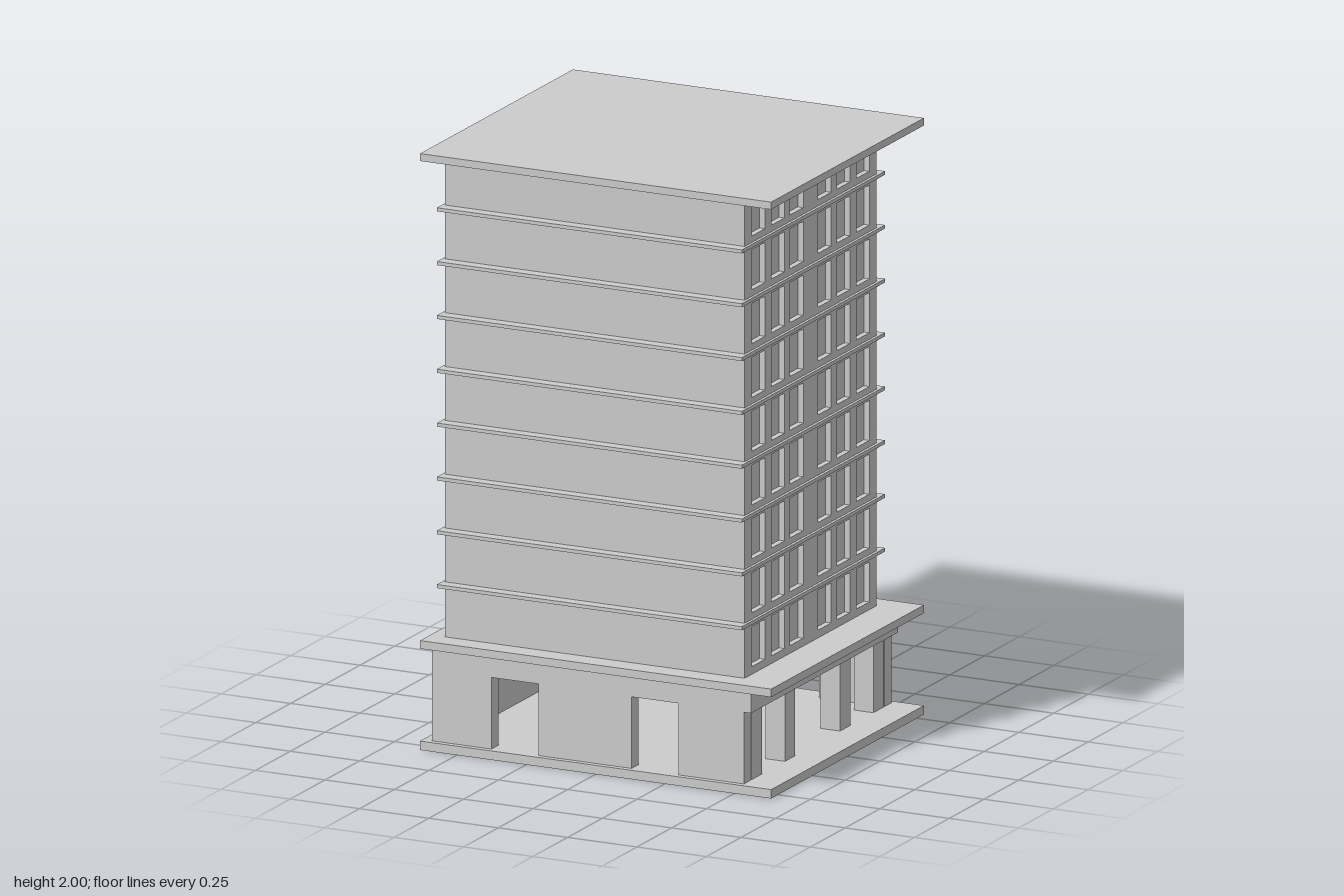
import * as THREE from 'three';

const material = new THREE.MeshStandardMaterial({ color: 0xcccccc, flatShading: true });

// Box given by its minimum and maximum on each axis
function box(parent, name, x0, x1, y0, y1, z0, z1) {
  const mesh = new THREE.Mesh(new THREE.BoxGeometry(x1 - x0, y1 - y0, z1 - z0), material);
  mesh.position.set((x0 + x1) / 2, (y0 + y1) / 2, (z0 + z1) / 2);
  mesh.name = name;
  parent.add(mesh);
  return mesh;
}

// Upright wall outline with rectangular holes, extruded along z
function wallGeometry(x0, x1, y0, y1, holes, depth) {
  const rect = (Type, a, b, c, d) => {
    const path = new Type();
    path.moveTo(a, c).lineTo(b, c).lineTo(b, d).lineTo(a, d).closePath();
    return path;
  };
  const shape = rect(THREE.Shape, x0, x1, y0, y1);
  for (const h of holes) shape.holes.push(rect(THREE.Path, ...h));
  return new THREE.ExtrudeGeometry(shape, { depth, bevelEnabled: false });
}

export function createModel() {
  const model = new THREE.Group();
  model.name = 'towerBlock';
  const floors = 9, floorHeight = 0.1805, towerBase = 0.365;
  const reveal = 0.02;

  // Ground, podium and roof slabs
  for (const [name, y0, y1] of [['baseSlab', 0, 0.03], ['podiumSlab', 0.34, 0.367], ['roofSlab', 1.975, 2]]) {
    box(model, name, -0.633, 0.633, y0, y1, -0.55, 0.55);
  }

  // Ground storey: pierced front and back walls, solid left-hand wall, open colonnade
  const podium = new THREE.Group();
  podium.name = 'groundStorey';
  model.add(podium);
  const doors = new THREE.Shape();
  const outline = [
    [-0.6, 0.03], [-0.385, 0.03], [-0.385, 0.27], [-0.215, 0.27], [-0.215, 0.03], [0.12, 0.03],
    [0.12, 0.27], [0.29, 0.27], [0.29, 0.03], [0.525, 0.03], [0.525, 0.34], [-0.6, 0.34],
  ];
  doors.setFromPoints(outline.map(([x, y]) => new THREE.Vector2(x, y)));
  const doorWall = new THREE.ExtrudeGeometry(doors, { depth: 0.05, bevelEnabled: false });
  for (const [name, z] of [['frontDoorWall', 0.48], ['backDoorWall', -0.53]]) {
    const wall = new THREE.Mesh(doorWall, material);
    wall.position.z = z;
    wall.name = name;
    podium.add(wall);
  }
  box(podium, 'solidSideWall', -0.6, -0.55, 0.03, 0.34, -0.48, 0.48);
  box(podium, 'colonnadeBeam', 0.47, 0.55, 0.27, 0.34, -0.53, 0.53);
  for (const z of [-0.438, -0.198, 0.198, 0.438]) {
    box(podium, 'column', 0.455, 0.525, 0.03, 0.27, z - 0.037, z + 0.037);
  }

  // Tower core, whose side faces form the window panes
  box(model, 'towerCore', -0.58 + reveal, 0.5 - reveal, towerBase, 1.977, -0.475, 0.475);

  // Window walls on both sides
  const windows = [];
  for (let i = 0; i < floors; i++) {
    const y = towerBase + i * floorHeight;
    for (const z of [0.1, 0.235, 0.375]) {
      for (const s of [-1, 1]) windows.push([s * z - 0.047, s * z + 0.047, y + 0.028, y + 0.162]);
    }
  }
  const windowWall = wallGeometry(-0.475, 0.475, towerBase, 1.977, windows, reveal);
  for (const [name, x, turn] of [['leftWindowWall', 0.5 - reveal, 1], ['rightWindowWall', -0.58 + reveal, -1]]) {
    const wall = new THREE.Mesh(windowWall, material);
    wall.rotation.y = turn * Math.PI / 2;
    wall.position.x = x;
    wall.name = name;
    model.add(wall);
  }

  // Ledges between floors
  for (let i = 1; i < floors; i++) {
    const y = towerBase + i * floorHeight;
    box(model, 'floorLedge', -0.59, 0.51, y - 0.006, y + 0.006, -0.515, 0.515);
    box(model, 'ledgeMoulding', -0.58, 0.5, y - 0.013, y - 0.006, -0.485, 0.485);
  }
  return model;
}
